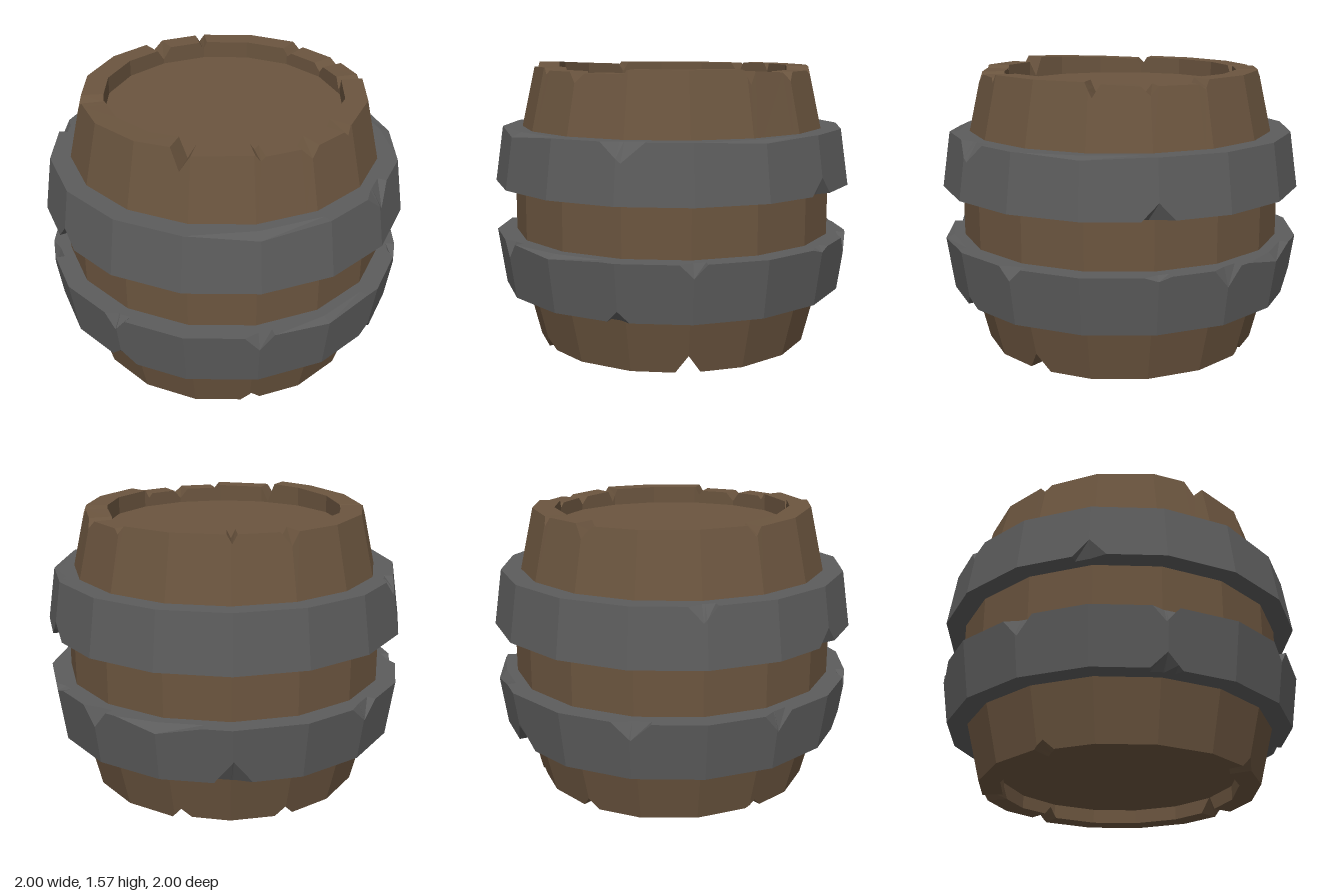
import * as THREE from 'three';

const SIDES = 16;
const STEP = 360 / SIDES;
const wrap = (d) => ((d % 360) + 360) % 360;

// Radius factor that keeps extra points on the flat sides of the 16-gon
const onFlat = (deg) => {
  const half = THREE.MathUtils.degToRad(STEP / 2);
  const a = THREE.MathUtils.degToRad(wrap(deg) % STEP) - half;
  return Math.cos(half) / Math.cos(a);
};

// Polygon corners plus the extra angles needed by the chips, sorted
function ringAngles(extra) {
  const all = extra.map(wrap);
  for (let i = 0; i < SIDES; i++) all.push(i * STEP);
  all.sort((a, b) => a - b);
  return all.filter((a, i) => i === 0 || a - all[i - 1] > 0.05);
}

// Skin a profile around y; profile(deg) returns [radius, y] pairs, outside going up
function skinRing(angles, profile, closed) {
  const cols = angles.map((deg) => {
    const a = THREE.MathUtils.degToRad(deg);
    const k = onFlat(deg);
    return profile(deg).map(([r, y]) => [Math.sin(a) * r * k, y, Math.cos(a) * r * k, r]);
  });
  const pos = [];
  const put = (...pts) => pts.forEach((p) => pos.push(p[0], p[1], p[2]));
  cols.forEach((c, j) => {
    const n = cols[(j + 1) % cols.length];
    const rows = c.length;
    for (let i = 0; i < (closed ? rows : rows - 1); i++) {
      const u = (i + 1) % rows;
      if (c[i][3] > 0) put(c[i], n[i], n[u]);
      if (c[u][3] > 0) put(c[i], n[u], c[u]);
    }
  });
  const g = new THREE.BufferGeometry();
  g.setAttribute('position', new THREE.Float32BufferAttribute(pos, 3));
  g.computeVertexNormals();
  return g;
}

// Depth of the chips [deg, halfWidth, depth] at an angle
const dip = (chips, deg) => chips.reduce((m, [c, w, d]) => {
  const off = Math.abs(wrap(deg - c + 180) - 180);
  return Math.max(m, d * (1 - off / w));
}, 0);
const chipAngles = (chips) => chips.flatMap(([c, w]) => [c - w, c, c + w]);

// Stave rim: linear between notches [deg, halfWidth, notchY, yBefore, yAfter]
function rimHeight(notches) {
  const pts = notches
    .flatMap(([c, w, y, y0, y1]) => [[c - w, y0], [c, y], [c + w, y1]])
    .map(([d, y]) => [wrap(d), y])
    .sort((a, b) => a[0] - b[0]);
  const last = pts[pts.length - 1];
  const loop = [[last[0] - 360, last[1]], ...pts, [pts[0][0] + 360, pts[0][1]]];
  return (deg) => {
    const i = loop.findIndex((p) => p[0] >= deg - 1e-6);
    if (i <= 0) return loop[0][1];
    const [a, b] = [loop[i - 1], loop[i]];
    return THREE.MathUtils.mapLinear(deg, a[0], b[0], a[1], b[1]);
  };
}

function createBody(material) {
  const topNotches = [
    [0, 4, 1.475, 1.53, 1.525],
    [20, 2, 1.5, 1.525, 1.545],
    [69, 3, 1.47, 1.545, 1.535],
    [90, 3.5, 1.48, 1.525, 1.525],
    [112, 2.5, 1.5, 1.525, 1.545],
    [158, 2, 1.5, 1.545, 1.545],
    [180, 4, 1.475, 1.545, 1.54],
    [247, 3, 1.49, 1.545, 1.535],
    [311, 4, 1.455, 1.565, 1.54],
    [340, 2, 1.51, 1.545, 1.53],
  ];
  const bottomNotches = [
    [45, 5, 0.1, 0, 0],
    [138, 4, 0.06, 0, 0.01],
    [180, 4, 0.06, 0, 0],
    [250, 4, 0.05, 0.01, 0],
    [338, 4, 0.06, 0, 0.005],
  ];
  const top = rimHeight(topNotches);
  const bottom = rimHeight(bottomNotches);
  const angles = ringAngles([...chipAngles(topNotches), ...chipAngles(bottomNotches)]);
  const geometry = skinRing(angles, (deg) => {
    const yt = top(deg);
    const yb = bottom(deg);
    return [
      [0, 0.08], [0.65, 0.08], [0.65, yb], [0.765 + yb * 0.25, yb],
      [0.845, 0.32], [0.89, 0.6], [0.89, 0.92], [0.845, 1.21],
      [0.77 + (1.545 - yt) * 0.22, yt], [0.65, yt], [0.65, 1.45], [0, 1.45],
    ];
  }, false);
  const mesh = new THREE.Mesh(geometry, material);
  mesh.name = 'barrelBody';
  return mesh;
}

// Metal band with chipped upper and lower outer edges
function createHoop(name, y0, y1, r0, r1, topChips, bottomChips, material) {
  const angles = ringAngles([...chipAngles(topChips), ...chipAngles(bottomChips)]);
  const geometry = skinRing(angles, (deg) => {
    const slope = (r1 - r0) / (y1 - y0);
    const db = dip(bottomChips, deg);
    const dt = dip(topChips, deg);
    return [
      [0.82, y0], [r0 - 0.05, y0], [r0 + slope * db, y0 + db],
      [r1 - slope * dt, y1 - dt], [r1 - 0.05, y1], [0.82, y1],
    ];
  }, true);
  const mesh = new THREE.Mesh(geometry, material);
  mesh.name = name;
  return mesh;
}

export function createModel() {
  const wood = new THREE.MeshStandardMaterial({ color: 0x6b553f, flatShading: true });
  const metal = new THREE.MeshStandardMaterial({ color: 0x5c5c5c, flatShading: true });
  const group = new THREE.Group();
  group.name = 'barrel';
  group.add(createBody(wood));

  group.add(createHoop('upperHoop', 0.905, 1.21, 1.0, 0.955,
    [[24, 7, 0.1], [-136, 4.5, 0.08], [-22.5, 22.5, 0.025], [67.5, 20, 0.015]],
    [[90, 5, 0.09], [-90, 5, 0.09]], metal));

  group.add(createHoop('lowerHoop', 0.315, 0.625, 0.955, 1.0,
    [[-22.5, 4.5, 0.085], [45, 4, 0.07], [112.5, 5, 0.1], [90, 4, 0.02],
      [-157, 6, 0.09], [-112, 5, 0.1], [-68, 4, 0.08], [135, 14, 0.045], [0, 18, 0.02]],
    [[22.5, 3.5, 0.06], [-67.5, 5, 0.08], [158, 6, 0.13]], metal));
  return group;
}
